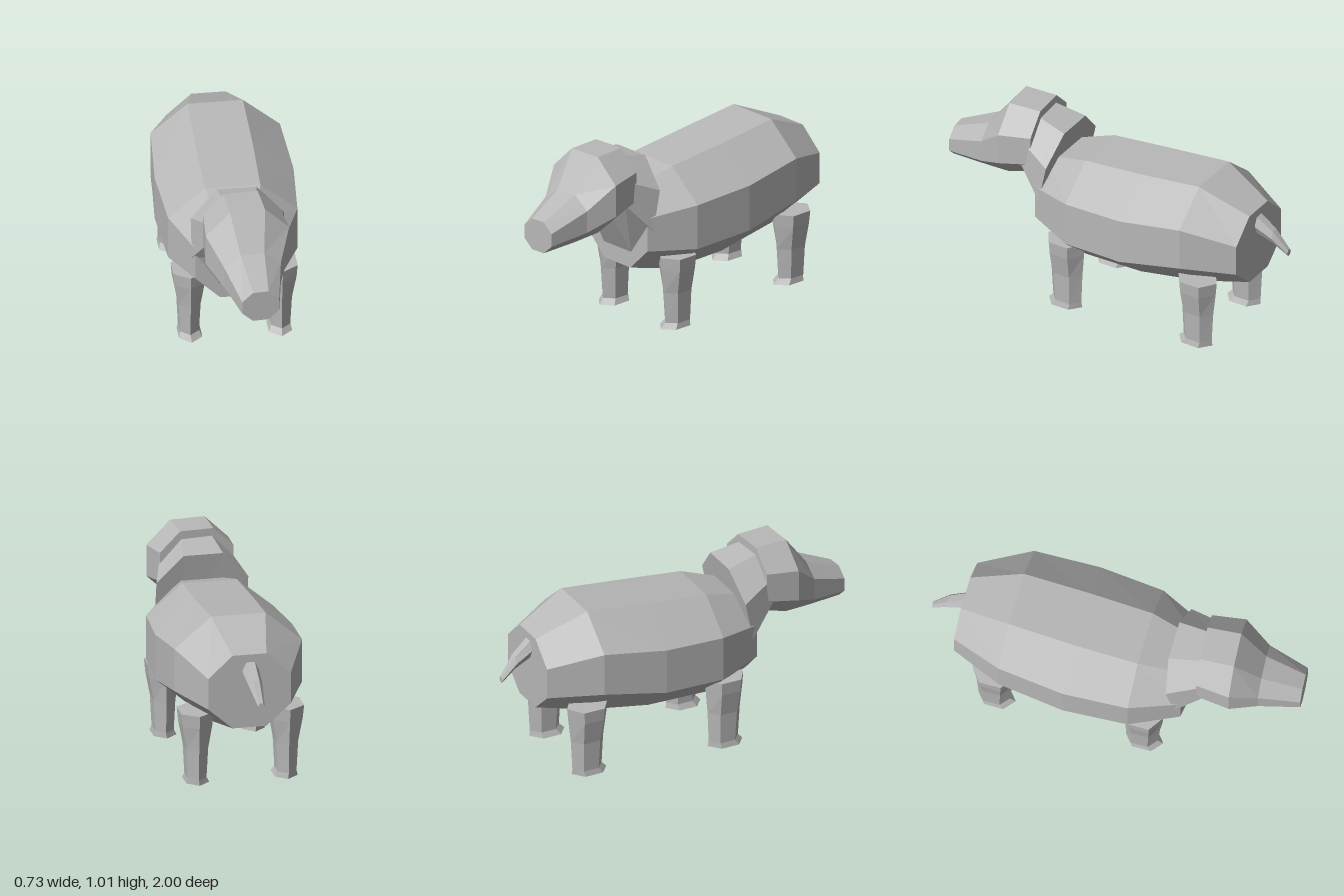
import * as THREE from 'three';

// Skins a list of closed rings (equal point counts) and caps both ends.
// Rings run counter-clockwise as seen from the end the loft heads towards.
function loft(rings) {
  const pos = [];
  const tri = (...pts) => pts.forEach((p) => pos.push(...p));
  const n = rings[0].length;
  for (let r = 0; r < rings.length - 1; r++) {
    const a = rings[r], b = rings[r + 1];
    for (let i = 0; i < n; i++) {
      const j = (i + 1) % n;
      tri(a[i], a[j], b[j]);
      tri(a[i], b[j], b[i]);
    }
  }
  const first = rings[0], last = rings[rings.length - 1];
  for (let i = 1; i < n - 1; i++) {
    tri(first[0], first[i + 1], first[i]);
    tri(last[0], last[i], last[i + 1]);
  }
  const geo = new THREE.BufferGeometry();
  geo.setAttribute('position', new THREE.Float32BufferAttribute(pos, 3));
  geo.computeVertexNormals();
  return geo;
}

// Octagon from four heights (bottom, lower side, upper side, top);
// z is one depth, or one depth per height for a slanted ring.
function octagon(halfWidth, halfFlat, ys, z) {
  const zs = Array.isArray(z) ? z : [z, z, z, z];
  const right = [halfFlat, halfWidth, halfWidth, halfFlat].map((x, i) => [x, ys[i], zs[i]]);
  const left = right.map(([x, y, d]) => [-x, y, d]).reverse();
  return [...right, ...left];
}

// Horizontal hexagon with corners at front and back.
function hexagon(cx, y, cz, halfX, halfZ) {
  return Array.from({ length: 6 }, (_, i) => {
    const a = Math.PI / 6 + (i * Math.PI) / 3;
    return [cx + (Math.cos(a) * halfX) / Math.cos(Math.PI / 6), y, cz + Math.sin(a) * halfZ];
  });
}

export function createModel() {
  const model = new THREE.Group();
  model.name = 'animal';
  const hide = new THREE.MeshStandardMaterial({ color: 0xb8b8b8 });
  hide.name = 'grey hide';
  hide.flatShading = true;

  const add = (name, rings) => {
    const mesh = new THREE.Mesh(loft(rings), hide);
    mesh.name = name;
    model.add(mesh);
    return mesh;
  };

  // Barrel body, rump to chest
  add('body', [
    octagon(0.22, 0.09, [0.395, 0.51, 0.68, 0.80], -0.83),
    octagon(0.34, 0.145, [0.34, 0.52, 0.755, 0.92], -0.555),
    octagon(0.365, 0.15, [0.28, 0.455, 0.705, 0.88], -0.2),
    octagon(0.34, 0.145, [0.27, 0.435, 0.68, 0.845], 0.145),
    octagon(0.23, 0.1, [0.33, 0.457, 0.64, 0.765], 0.4),
  ]);

  // Slanted neck
  add('neck', [
    octagon(0.245, 0.105, [0.42, 0.57, 0.785, 0.935], [0.4, 0.37, 0.325, 0.3]),
    octagon(0.19, 0.08, [0.655, 0.735, 0.86, 0.975], [0.525, 0.52, 0.5, 0.485]),
  ]);

  // Head and snout, turned slightly to its left about the head's back
  const head = add('head', [
    octagon(0.2, 0.09, [0.645, 0.745, 0.905, 1.013], 0),
    octagon(0.222, 0.093, [0.59, 0.713, 0.886, 1.013], 0.18),
    octagon(0.15, 0.063, [0.57, 0.645, 0.765, 0.832], 0.32),
    octagon(0.098, 0.041, [0.562, 0.613, 0.684, 0.735], 0.535),
  ]);
  head.position.z = 0.462;
  head.rotation.y = 0.066;

  // Legs with small flared feet, mirrored left and right
  for (const [side, s] of [['left', 1], ['right', -1]]) {
    add(side + 'FrontLeg', [
      hexagon(s * 0.242, 0.4, 0.2, 0.085, 0.112),
      hexagon(s * 0.241, 0.33, 0.2, 0.08, 0.108),
      hexagon(s * 0.24, 0.2, 0.198, 0.058, 0.095),
      hexagon(s * 0.24, 0.03, 0.196, 0.05, 0.086),
      hexagon(s * 0.236, 0, 0.208, 0.061, 0.102),
    ]);
    add(side + 'RearLeg', [
      hexagon(s * 0.242, 0.43, -0.606, 0.085, 0.118),
      hexagon(s * 0.241, 0.36, -0.605, 0.08, 0.112),
      hexagon(s * 0.24, 0.23, -0.606, 0.058, 0.095),
      hexagon(s * 0.24, 0.065, -0.606, 0.05, 0.086),
      hexagon(s * 0.236, 0.035, -0.592, 0.061, 0.102),
    ]);
  }

  // Short drooping tail, tip to base
  const tailRing = (cx, cy, z, hw, hh) =>
    Array.from({ length: 6 }, (_, i) => {
      const a = (i * Math.PI) / 3;
      return [cx + Math.cos(a) * hw, cy + (Math.sin(a) * hh) / Math.cos(Math.PI / 6), z];
    });
  add('tail', [
    tailRing(-0.027, 0.572, -1, 0.018, 0.017),
    tailRing(-0.015, 0.654, -0.92, 0.036, 0.034),
    tailRing(-0.005, 0.715, -0.82, 0.046, 0.05),
  ]);

  return model;
}
